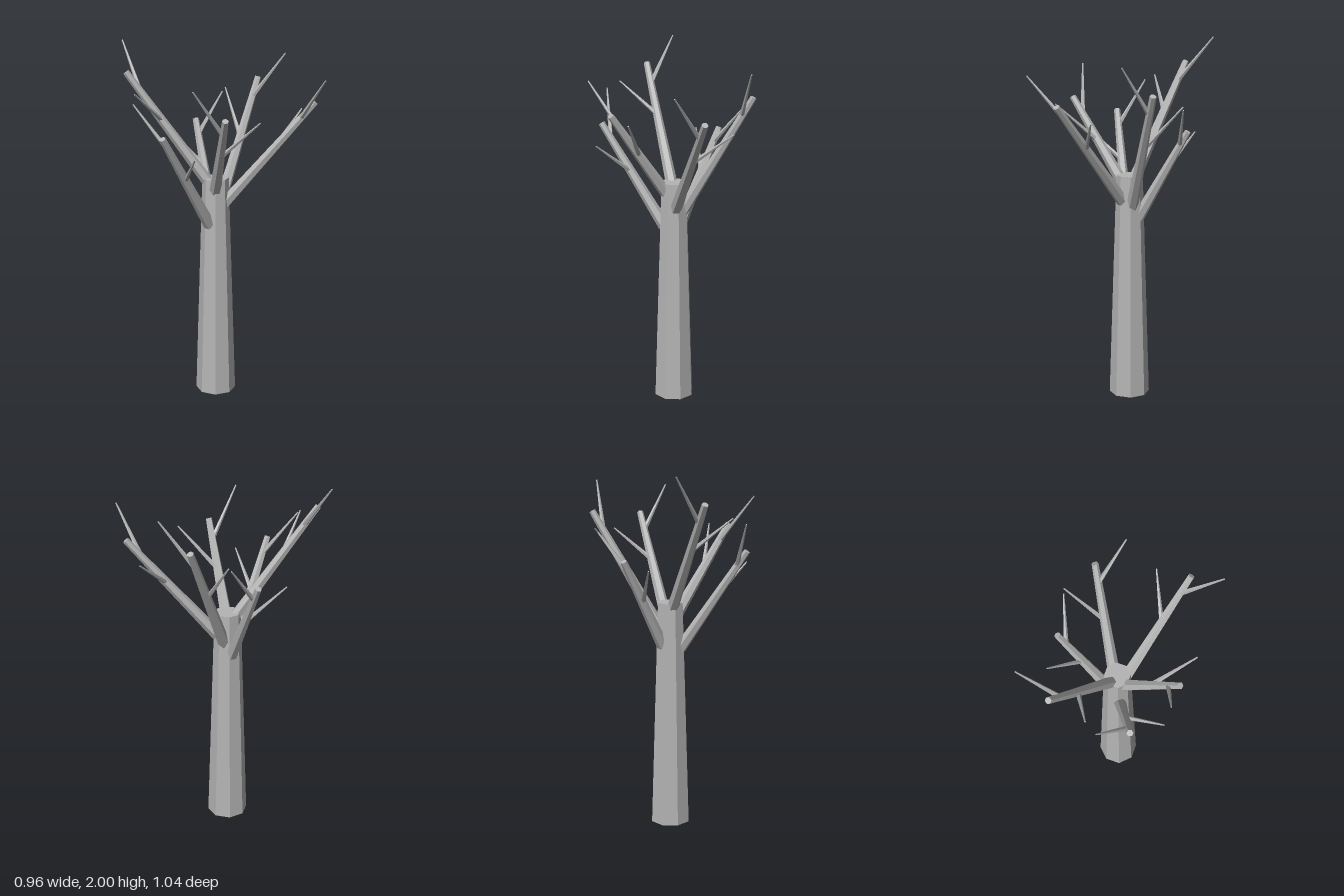
import * as THREE from 'three';

const UP = new THREE.Vector3(0, 1, 0);

export function createModel() {
  const bark = new THREE.MeshStandardMaterial({ color: 0xb4b4b4, flatShading: true });
  bark.name = 'bareBark';
  const tree = new THREE.Group();
  tree.name = 'bareTree';

  // Tapered faceted limb running from one point to another
  function limb(name, from, to, r0, r1, sides) {
    const axis = to.clone().sub(from);
    const mesh = new THREE.Mesh(new THREE.CylinderGeometry(r1, r0, axis.length(), sides), bark);
    mesh.name = name;
    mesh.position.copy(from).addScaledVector(axis, 0.5);
    mesh.quaternion.setFromUnitVectors(UP, axis.normalize());
    return mesh;
  }
  const v = (p) => new THREE.Vector3(...p);

  // Eight-sided trunk
  tree.add(limb('trunk', v([0, 0, -0.032]), v([0, 1.27, -0.032]), 0.113, 0.073, 8));

  // Each branch: base, tip, and twigs as [fraction along the branch, twig tip]
  const branches = [
    { name: 'backRightBranch', base: [0, 1.19, -0.035], tip: [-0.335, 1.855, -0.375],
      twigs: [[0.84, [-0.237, 2.0, -0.517]], [0.6, [-0.422, 1.77, -0.205]]] },
    { name: 'backBranch', base: [0.025, 1.03, -0.078], tip: [0.138, 1.53, -0.335],
      twigs: [[0.84, [0.307, 1.67, -0.29]], [0.52, [-0.032, 1.5, -0.395]]] },
    { name: 'leftBranch', base: [0.045, 1.1, -0.043], tip: [0.425, 1.76, -0.122],
      twigs: [[0.84, [0.475, 1.91, 0.04]], [0.53, [0.327, 1.69, -0.287]]] },
    { name: 'frontLeftBranch', base: [0.03, 1.125, 0.007], tip: [0.36, 1.7, 0.367],
      twigs: [[0.84, [0.263, 1.85, 0.517]], [0.57, [0.447, 1.625, 0.195]]] },
    { name: 'frontRightBranch', base: [-0.03, 1.2, -0.005], tip: [-0.225, 1.675, 0.272],
      twigs: [[0.8, [-0.392, 1.84, 0.21]], [0.5, [-0.07, 1.655, 0.37]]] },
    { name: 'rightBranch', base: [-0.055, 1.01, -0.023], tip: [-0.425, 1.57, 0.012],
      twigs: [[0.85, [-0.477, 1.735, -0.155]], [0.53, [-0.362, 1.48, 0.19]]] },
  ];

  for (const { name, base, tip, twigs } of branches) {
    const group = new THREE.Group();
    group.name = name;
    const from = v(base), to = v(tip);
    group.add(limb('bough', from, to, 0.034, 0.018, 6));
    for (const [t, end] of twigs) {
      group.add(limb('twig', from.clone().lerp(to, t), v(end), 0.014, 0.004, 5));
    }
    tree.add(group);
  }
  return tree;
}
